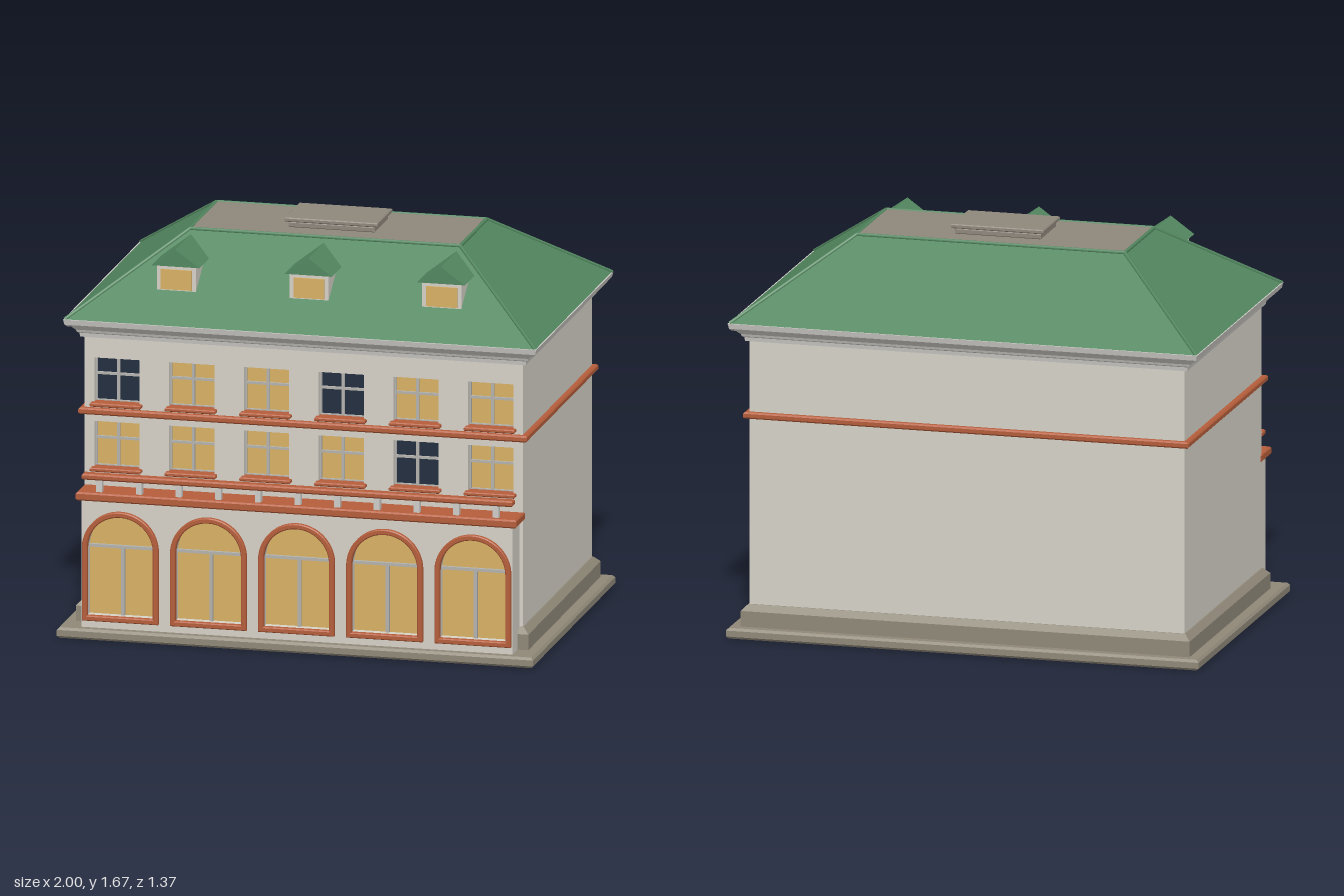
import * as THREE from 'three';

const mat = (name, color) => {
  const m = new THREE.MeshStandardMaterial({ color });
  m.name = name;
  return m;
};

// Stack of rectangular rings [y, halfWidth, zFront, zBack], bottom to top, with capped ends
function rectLoft(rings) {
  const pos = [];
  const loops = rings.map(([y, hx, f, b]) => [[-hx, y, f], [hx, y, f], [hx, y, b], [-hx, y, b]]);
  const quad = (a, b, c, d) => pos.push(...a, ...b, ...c, ...a, ...c, ...d);
  for (let i = 0; i < loops.length - 1; i++) {
    for (let k = 0; k < 4; k++) {
      const n = (k + 1) % 4;
      quad(loops[i][k], loops[i][n], loops[i + 1][n], loops[i + 1][k]);
    }
  }
  const top = loops[loops.length - 1], low = loops[0];
  quad(...top);
  quad(low[3], low[2], low[1], low[0]);
  const g = new THREE.BufferGeometry();
  g.setAttribute('position', new THREE.Float32BufferAttribute(pos, 3));
  g.computeVertexNormals();
  return g;
}

// Slab with chamfered top and bottom edges
const slab = (y0, y1, hx, f, b, c = 0.006) => rectLoft([
  [y0, hx - c, f - c, b + c], [y0 + c, hx, f, b],
  [y1 - c, hx, f, b], [y1, hx - c, f - c, b + c]]);

function rectPath(path, x0, x1, y0, y1) {
  path.moveTo(x0, y0);
  path.lineTo(x1, y0);
  path.lineTo(x1, y1);
  path.lineTo(x0, y1);
  path.closePath();
  return path;
}

// Round-headed opening
function archPath(path, cx, half, y0, spring) {
  path.moveTo(cx - half, y0);
  path.lineTo(cx + half, y0);
  path.lineTo(cx + half, spring);
  path.absarc(cx, spring, half, 0, Math.PI, false);
  path.closePath();
  return path;
}

export function createModel() {
  const wall = mat('wall plaster', 0xd6d2c8);
  const stone = mat('base stone', 0x8f8878);
  const cornice = mat('cornice', 0xcfcdc8);
  const terracotta = mat('terracotta trim', 0xb55d3a);
  const green = mat('green roof', 0x52875f);
  const flat = mat('flat roof', 0x8e877b);
  const lit = mat('lit glass', 0xd8b064);
  const dark = mat('dark glass', 0x212d3f);
  const frame = mat('window frame', 0xb4b3ae);

  const root = new THREE.Group();
  root.name = 'building';
  const add = (name, geo, material, parent = root) => {
    const m = new THREE.Mesh(geo, material);
    m.name = name;
    parent.add(m);
    return m;
  };
  const box = (name, material, w, h, d, x, y, z, parent) => {
    const m = add(name, new THREE.BoxGeometry(w, h, d), material, parent);
    m.position.set(x, y, z);
    return m;
  };
  const extrude = (name, shape, z0, z1, material, parent, bevel = 0) => {
    const geo = new THREE.ExtrudeGeometry(shape, {
      depth: z1 - z0 - 2 * bevel, curveSegments: 20,
      bevelEnabled: bevel > 0, bevelSize: bevel, bevelThickness: bevel, bevelOffset: -bevel, bevelSegments: 1 });
    const m = add(name, geo, material, parent);
    m.position.z = z0 + bevel;
    return m;
  };

  // Base steps and main block
  add('baseSlab', slab(0, 0.045, 1, 0.685, -0.685, 0.01), stone);
  add('plinth', rectLoft([[0.045, 0.95, 0.565, -0.64], [0.11, 0.95, 0.565, -0.64], [0.135, 0.925, 0.54, -0.615]]), stone);
  add('mainBlock', rectLoft([[0.04, 0.92, 0.49, -0.61], [1.25, 0.92, 0.49, -0.61]]), wall);

  // Front wall with window openings
  const columns = [-0.785, -0.471, -0.157, 0.157, 0.471, 0.785];
  const floors = [
    { y0: 0.692, y1: 0.885, darkAt: [4] },
    { y0: 0.965, y1: 1.152, darkAt: [0, 3] }];
  const front = rectPath(new THREE.Shape(), -0.92, 0.92, 0.04, 1.25);
  for (const { y0, y1 } of floors) {
    for (const x of columns) front.holes.push(rectPath(new THREE.Path(), x - 0.095, x + 0.095, y0, y1));
  }
  extrude('frontWall', front, 0.49, 0.535, wall);

  // Windows: glass, frame bars and sill
  for (const { y0, y1, darkAt } of floors) {
    columns.forEach((x, i) => {
      const g = new THREE.Group();
      g.name = 'window';
      root.add(g);
      const h = y1 - y0, cy = (y0 + y1) / 2;
      box('glass', darkAt.includes(i) ? dark : lit, 0.19, h, 0.006, x, cy, 0.495, g);
      box('mullion', frame, 0.012, h, 0.014, x, cy, 0.502, g);
      box('transom', frame, 0.19, 0.01, 0.014, x, y0 + h * 0.62, 0.502, g);
      for (const s of [-1, 1]) {
        box('sideFrame', frame, 0.006, h, 0.014, x + s * 0.092, cy, 0.502, g);
        box('endFrame', frame, 0.19, 0.006, 0.014, x, cy + s * (h / 2 - 0.003), 0.502, g);
      }
      add('sill', slab(y0 - 0.014, y0 + 0.002, 0.107, 0.566, 0.5, 0.004), terracotta, g).position.x = x;
    });
  }

  // Projecting arcade with five arches
  const arches = [-2, -1, 0, 1, 2].map(i => i * 0.37);
  const arcade = rectPath(new THREE.Shape(), -0.905, 0.905, 0.045, 0.585);
  for (const x of arches) arcade.holes.push(archPath(new THREE.Path(), x, 0.142, 0.094, 0.38));
  extrude('arcade', arcade, 0.53, 0.648, wall);
  for (const x of arches) {
    const g = new THREE.Group();
    g.name = 'archWindow';
    root.add(g);
    extrude('archGlass', archPath(new THREE.Shape(), x, 0.143, 0.093, 0.38), 0.594, 0.6, lit, g);
    const trim = archPath(new THREE.Shape(), x, 0.16, 0.076, 0.38);
    trim.holes.push(archPath(new THREE.Path(), x, 0.138, 0.098, 0.38));
    extrude('archTrim', trim, 0.64, 0.668, terracotta, g, 0.004);
    box('archTransom', frame, 0.284, 0.012, 0.016, x, 0.382, 0.606, g);
    box('archMullion', frame, 0.014, 0.286, 0.016, x, 0.237, 0.606, g);
  }

  // Terrace edge and balustrade above the arcade
  add('terraceEdge', slab(0.58, 0.615, 0.925, 0.667, 0.523), terracotta);
  for (let i = -5; i <= 5; i++) box('baluster', cornice, 0.025, 0.056, 0.026, i * 0.1665, 0.64, 0.63);
  add('balustradeRail', slab(0.665, 0.69, 0.905, 0.652, 0.608), terracotta);

  // String course around the block
  add('stringCourse', slab(0.915, 0.942, 0.942, 0.558, -0.632), terracotta);

  // Stepped cornice, each step pushed out from the wall
  const steps = [[1.237, 0], [1.24, 0.015], [1.257, 0.018], [1.262, 0.026], [1.272, 0.03],
    [1.287, 0.045], [1.292, 0.06], [1.3, 0.068], [1.322, 0.073]];
  add('cornice', rectLoft(steps.map(([y, o]) => [y, 0.92 + o, 0.535 + o, -0.61 - o])), cornice);

  // Hipped roof with flat top
  const eave = { y: 1.322, x: 0.988, f: 0.6, b: -0.676 };
  const crown = { y: 1.624, x: 0.567, f: 0.18, b: -0.258 };
  add('hippedRoof', rectLoft([eave, crown].map(r => [r.y, r.x, r.f, r.b])), green);
  box('flatRoof', flat, 2 * crown.x, 0.006, crown.f - crown.b, 0, 1.624, (crown.f + crown.b) / 2);
  const corners = r => [[-r.x, r.f], [r.x, r.f], [r.x, r.b], [-r.x, r.b]].map(([x, z]) => new THREE.Vector3(x, r.y, z));
  const ridge = (name, a, b) => add(name, new THREE.TubeGeometry(new THREE.LineCurve3(a, b), 1, 0.008, 8), green);
  const low = corners(eave), high = corners(crown);
  for (let i = 0; i < 4; i++) {
    ridge('hipRidge', low[i], high[i]);
    ridge('crownRidge', high[i], high[(i + 1) % 4]);
  }

  // Roof hatch
  add('hatchCurb', slab(1.624, 1.652, 0.182, 0.072, -0.148), flat);
  add('hatchLid', slab(1.652, 1.67, 0.196, 0.086, -0.162, 0.004), flat);

  // Dormers
  for (const x of [-0.557, 0, 0.557]) {
    const g = new THREE.Group();
    g.name = 'dormer';
    g.position.x = x;
    root.add(g);
    box('dormerWall', wall, 0.164, 0.115, 0.17, 0, 1.4845, 0.363, g);
    box('dormerGlass', lit, 0.13, 0.084, 0.008, 0, 1.478, 0.45, g);
    const gable = new THREE.Shape();
    gable.moveTo(-0.1, 1.536);
    gable.lineTo(0.1, 1.536);
    gable.lineTo(0, 1.607);
    gable.closePath();
    extrude('dormerRoof', gable, 0.2, 0.463, green, g);
  }
  return root;
}
